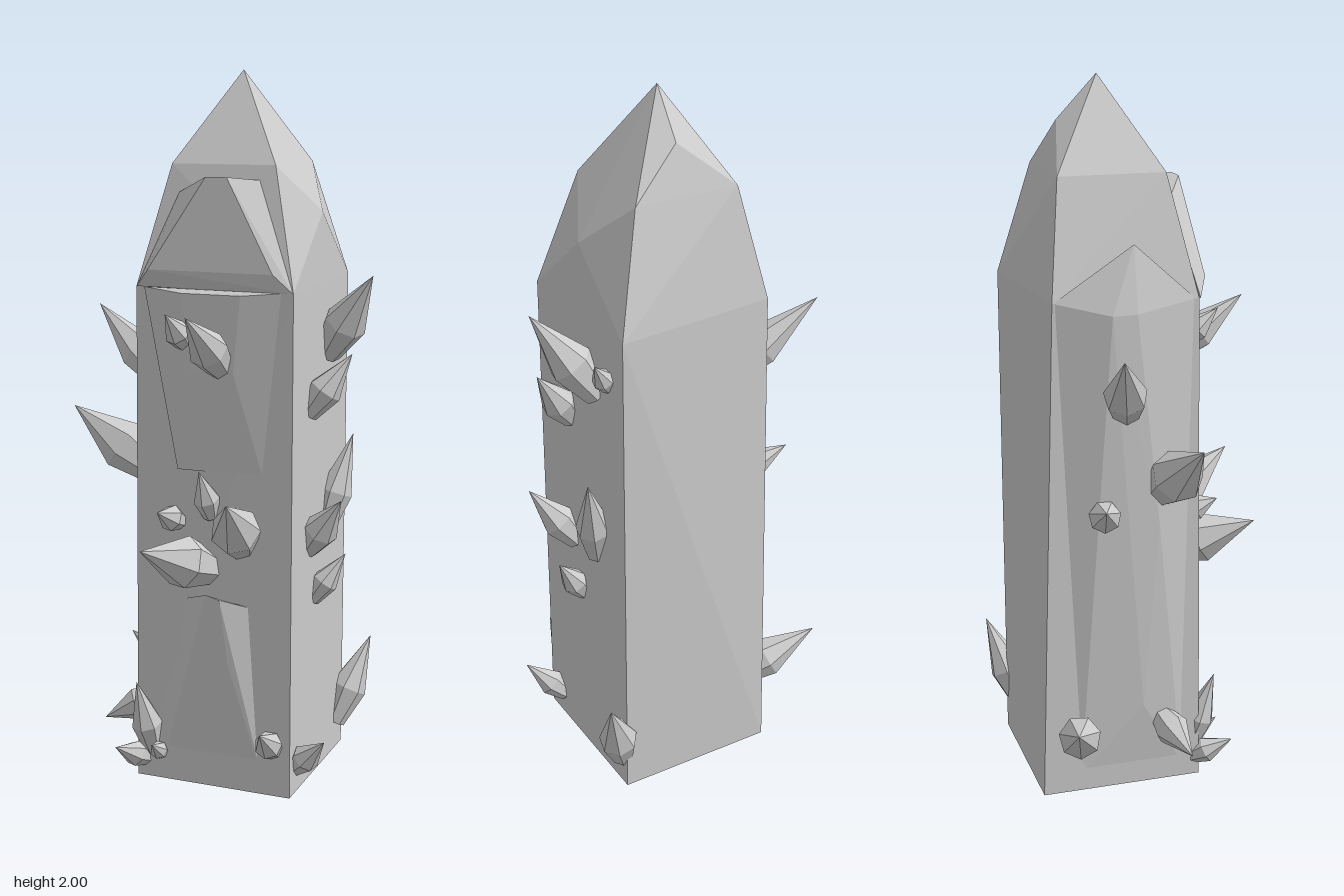
import * as THREE from 'three';
import { ConvexGeometry } from 'three/addons/geometries/ConvexGeometry.js';

const stone = new THREE.MeshStandardMaterial({ color: 0xcccccc, flatShading: true });

// faceted chunk spanning a few corner points
function chunk(name, corners) {
  const mesh = new THREE.Mesh(new ConvexGeometry(corners.map(c => new THREE.Vector3(...c))), stone);
  mesh.name = name;
  return mesh;
}

// faceted crystal growing from base to tip, widest a third of the way up
function crystal(name, base, tip, radius) {
  const from = new THREE.Vector3(...base);
  const dir = new THREE.Vector3(...tip).sub(from);
  const len = dir.length();
  const profile = [[0, -0.06], [0.6, -0.06], [1, 0.36], [0, 1]]
    .map(([r, h]) => new THREE.Vector2(r * radius, h * len));
  const mesh = new THREE.Mesh(new THREE.LatheGeometry(profile, 7), stone);
  mesh.name = name;
  mesh.position.copy(from);
  mesh.quaternion.setFromUnitVectors(new THREE.Vector3(0, 1, 0), dir.normalize());
  return mesh;
}

export function createModel() {
  const group = new THREE.Group();
  group.name = 'crystalPillar';

  // square shaft with a faceted point
  group.add(chunk('pillar', [
    [-0.18, 0, 0.155], [0.285, 0, 0.155], [0.285, 0, -0.31], [-0.18, 0, -0.31],
    [-0.178, 1.42, 0.14], [0.285, 1.42, 0.16], [0.285, 1.43, -0.31], [-0.178, 1.43, -0.268],
    [-0.1, 1.75, 0.07], [0.2, 1.75, 0.07], [0.2, 1.75, -0.23], [-0.1, 1.75, -0.23],
    [0.283, 1.62, -0.08], [0.06, 1.88, -0.19], [0.05, 2, -0.08],
  ]));

  // raised slabs on the front
  group.add(chunk('browSlab', [
    [-0.07, 1.675, 0.09], [0.16, 1.71, 0.08], [0.03, 1.72, 0.148], [0.09, 1.72, 0.148],
    [-0.1, 1.53, 0.158], [0.2, 1.53, 0.158], [-0.13, 1.47, 0.172], [0.23, 1.47, 0.172],
    [-0.175, 1.42, 0.145], [0.284, 1.42, 0.16], [0.05, 1.68, 0.02], [0.05, 1.42, 0.05],
  ]));
  group.add(chunk('upperSlab', [
    [-0.15, 1.42, 0.15], [0.25, 1.42, 0.16], [-0.03, 1.41, 0.175], [0.14, 1.41, 0.175],
    [0, 1.2, 0.175], [0.12, 1.2, 0.175], [-0.05, 0.92, 0.158], [0.2, 0.92, 0.158],
    [0.05, 1.2, 0.05],
  ]));
  group.add(chunk('lowerSlab', [
    [-0.04, 0.545, 0.15], [0.17, 0.54, 0.15], [0.05, 0.58, 0.2], [0.09, 0.57, 0.2],
    [0.11, 0.38, 0.185], [-0.1, 0.05, 0.15], [0.2, 0.05, 0.15], [0.05, 0.3, 0.05],
  ]));

  // bulging slab on the right flank
  group.add(chunk('sideSlab', [
    [-0.2, 1.58, -0.05], [-0.24, 1.4, -0.12], [-0.235, 1.4, -0.05],
    [-0.176, 1.43, -0.265], [-0.176, 1.42, 0.13], [-0.215, 0.8, -0.12], [-0.215, 0.8, 0.02],
    [-0.2, 0.25, -0.02], [-0.178, 0.05, -0.2], [-0.178, 0.05, 0.1], [-0.1, 1.42, -0.05],
  ]));

  // crystals: base, tip, radius
  const clusters = {
    leftCrystal: [
      [[0.285, 1.23, -0.15], [0.43, 1.45, -0.08], 0.062],
      [[0.28, 1.27, -0.22], [0.34, 1.36, -0.26], 0.03],
      [[0.28, 1.08, 0], [0.39, 1.24, -0.03], 0.048],
      [[0.28, 0.72, -0.14], [0.34, 0.98, -0.21], 0.05],
      [[0.28, 0.69, -0.01], [0.39, 0.845, 0.05], 0.05],
      [[0.28, 0.53, -0.05], [0.365, 0.66, -0.075], 0.038],
      [[0.28, 0.09, -0.27], [0.36, 0.33, -0.355], 0.055],
      [[0.28, 0.07, 0.09], [0.38, 0.175, 0.14], 0.04],
    ],
    frontCrystal: [
      [[0.075, 1.21, 0.15], [0.055, 1.37, 0.35], 0.055],
      [[-0.03, 1.27, 0.15], [-0.05, 1.36, 0.24], 0.038],
      [[0.045, 0.8, 0.15], [0.035, 0.93, 0.21], 0.037],
      [[0.13, 0.72, 0.14], [0.17, 0.88, 0.35], 0.07],
      [[0.03, 0.64, 0.14], [-0.08, 0.73, 0.35], 0.075],
      [[-0.05, 0.77, 0.15], [-0.08, 0.81, 0.235], 0.038],
      [[0.23, 0.13, 0.14], [0.235, 0.22, 0.265], 0.04],
      [[-0.14, 0.09, 0.14], [-0.16, 0.3, 0.205], 0.045],
      [[-0.11, 0.07, 0.14], [-0.1, 0.13, 0.235], 0.026],
      [[-0.16, 0.05, 0.14], [-0.21, 0.11, 0.245], 0.037],
    ],
    rightCrystal: [
      [[-0.19, 1.12, -0.07], [-0.43, 1.325, -0.145], 0.06],
      [[-0.18, 0.89, 0.04], [-0.405, 1.06, 0.08], 0.075],
      [[-0.18, 0.82, -0.13], [-0.33, 0.89, -0.165], 0.045],
      [[-0.17, 0.16, -0.2], [-0.39, 0.28, -0.262], 0.06],
      [[-0.17, 0.2, 0.04], [-0.315, 0.13, 0.09], 0.05],
    ],
  };
  for (const [name, list] of Object.entries(clusters)) {
    list.forEach(([base, tip, r], i) => group.add(crystal(name + (i + 1), base, tip, r)));
  }
  return group;
}
